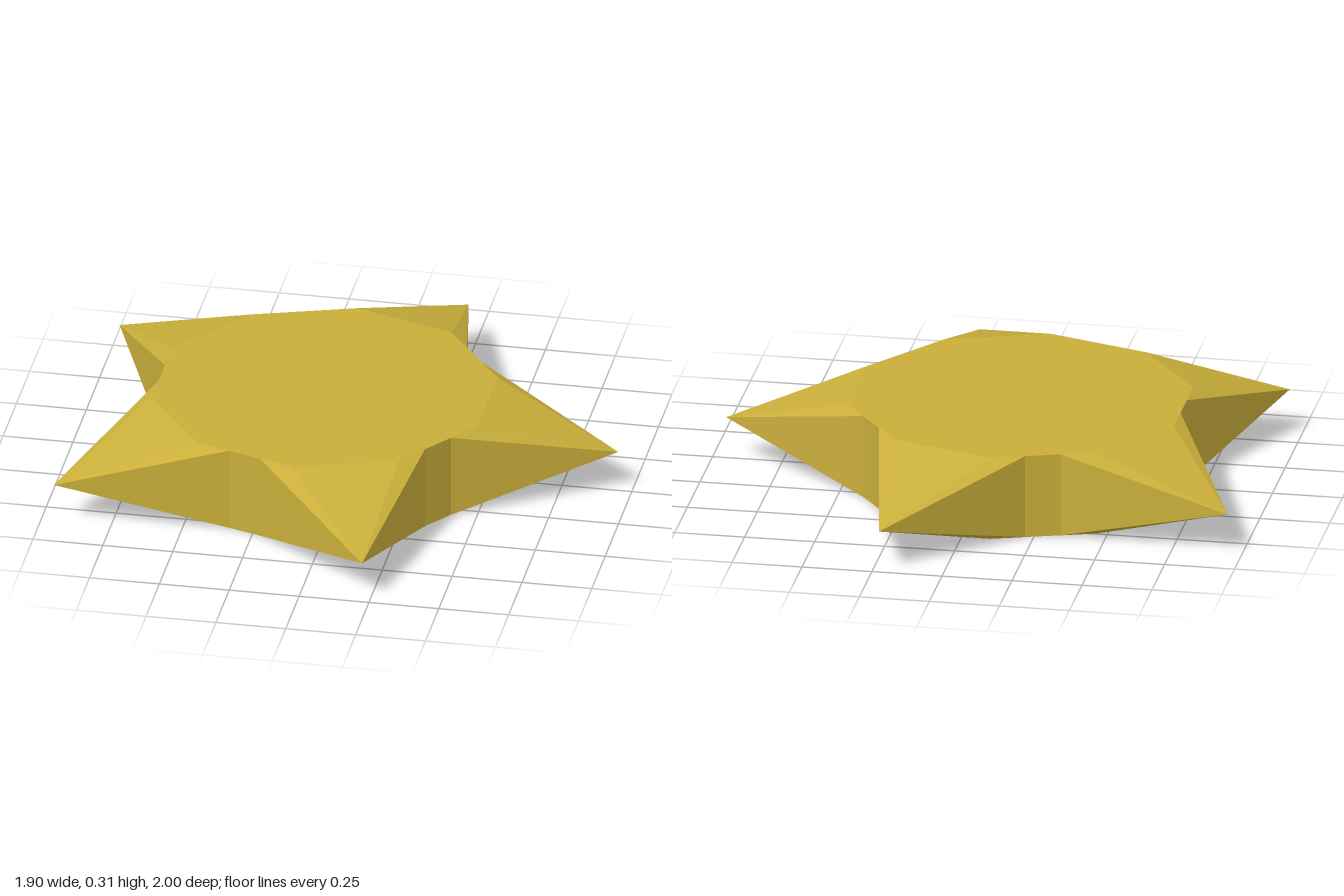
import * as THREE from 'three';

const HEIGHT = 0.305, CORE_R = 0.613, TIP_R = 1.0515, CENTRE_X = -0.1;

// Open eight-sided spike pointing along +x, fanned from its rim to the tip
function spikeGeometry() {
  const h = HEIGHT / 2;
  const corner = [CORE_R * Math.cos(Math.PI / 10), CORE_R * Math.sin(Math.PI / 10)];
  const notch = [0.509, 0.292]; // where the spike meets the next core wall
  const rim = [
    [corner[0], h, -corner[1]], [corner[0], h, corner[1]],
    [notch[0], h, notch[1]], [notch[0], -h, notch[1]],
    [corner[0], -h, corner[1]], [corner[0], -h, -corner[1]],
    [notch[0], -h, -notch[1]], [notch[0], h, -notch[1]],
  ];
  const positions = [];
  rim.forEach((p, i) => positions.push(TIP_R, 0, 0, ...p, ...rim[(i + 1) % rim.length]));
  const geometry = new THREE.BufferGeometry();
  geometry.setAttribute('position', new THREE.Float32BufferAttribute(positions, 3));
  geometry.computeVertexNormals();
  return geometry;
}

export function createModel() {
  const gold = new THREE.MeshStandardMaterial({ color: 0xc9ae3a, flatShading: true });
  gold.name = 'gold';

  const star = new THREE.Group();
  star.name = 'star';
  star.position.set(CENTRE_X, HEIGHT / 2, 0);

  // Ten-sided flat body
  const core = new THREE.Mesh(new THREE.CylinderGeometry(CORE_R, CORE_R, HEIGHT, 10), gold);
  core.name = 'core';
  star.add(core);

  // Five points around the body
  const geometry = spikeGeometry();
  for (let i = 0; i < 5; i++) {
    const spike = new THREE.Mesh(geometry, gold);
    spike.name = `point${i + 1}`;
    spike.rotation.y = (i * Math.PI * 2) / 5;
    star.add(spike);
  }

  const model = new THREE.Group();
  model.name = 'starModel';
  model.add(star);
  return model;
}
